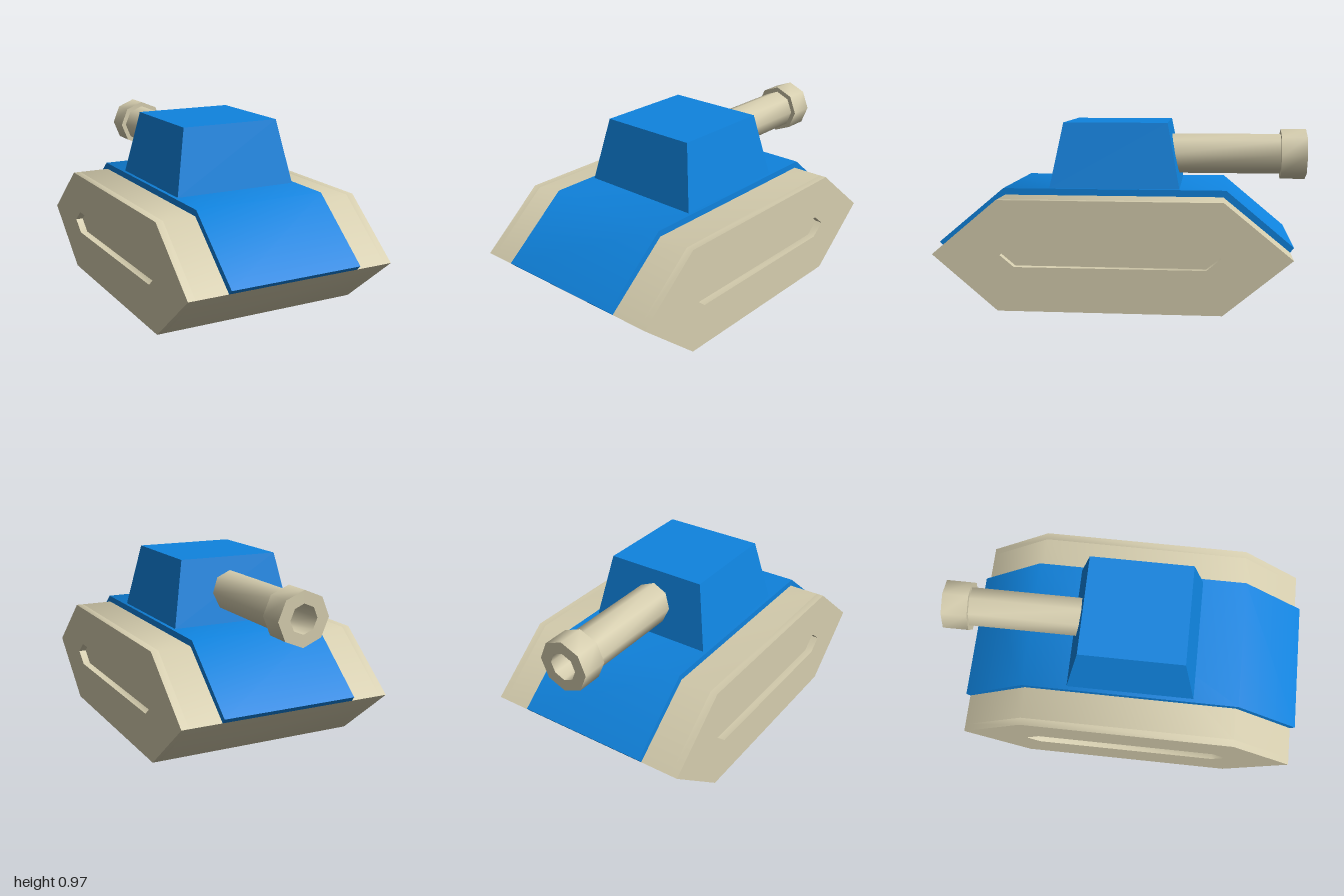
import * as THREE from 'three';
import { toCreasedNormals } from 'three/addons/utils/BufferGeometryUtils.js';

const CREASE = 0.9;

// Outline given as [z, y] points
const outline = (pts, Type = THREE.Shape) => new Type(pts.map(([z, y]) => new THREE.Vector2(z, y)));

// Extrude a side-on outline across x, centred on the given x
function extrudeAcross(shape, width, x = 0) {
  const geo = new THREE.ExtrudeGeometry(shape, { depth: width, bevelEnabled: false });
  geo.translate(0, 0, -width / 2);
  geo.rotateY(-Math.PI / 2);
  geo.translate(x, 0, 0);
  return toCreasedNormals(geo, CREASE);
}

export function createModel() {
  const group = new THREE.Group();
  const blue = new THREE.MeshStandardMaterial({ color: 0x0f83de });
  blue.name = 'blue';
  const beige = new THREE.MeshStandardMaterial({ color: 0xd5cdae });
  beige.name = 'beige';

  const add = (name, geo, material) => {
    const mesh = new THREE.Mesh(geo, material);
    mesh.name = name;
    group.add(mesh);
  };

  // Hull: solid core with a slotted plate on each side
  const hull = [[0.975, 0.295], [0.63, 0.585], [-0.54, 0.585], [-0.895, 0.295], [-0.54, 0], [0.63, 0]];
  const slot = [[0.615, 0.297], [0.54, 0.36], [-0.455, 0.36], [-0.53, 0.297], [-0.455, 0.235], [0.54, 0.235]];
  const halfWidth = 0.585, slotDepth = 0.04;
  add('hull', extrudeAcross(outline(hull), 2 * (halfWidth - slotDepth)), beige);
  for (const side of [1, -1]) {
    const plate = outline(hull);
    plate.holes.push(outline(slot, THREE.Path));
    add(side > 0 ? 'leftSidePlate' : 'rightSidePlate',
      extrudeAcross(plate, slotDepth, side * (halfWidth - slotDepth / 2)), beige);
  }

  // Folded armour sheet lying over the hull
  add('deckArmour', extrudeAcross(outline([
    [1.0, 0.32], [0.64, 0.62], [-0.555, 0.62], [-0.915, 0.32],
    [-0.895, 0.295], [-0.54, 0.585], [0.63, 0.585], [0.975, 0.295],
  ]), 0.74), blue);

  // Turret: box tapered towards its roof
  const turret = new THREE.BoxGeometry(0.7, 0.35, 0.7);
  const p = turret.attributes.position;
  for (let i = 0; i < p.count; i++) {
    if (p.getY(i) > 0) p.setXYZ(i, p.getX(i) * 0.8, p.getY(i), p.getZ(i) * 0.805);
  }
  turret.translate(0, 0.795, 0.042);
  add('turret', toCreasedNormals(turret, 0.1), blue);

  // Gun: eight-sided barrel, thicker muzzle and hollow bore
  const profile = [[0.112, 0.2], [0.112, 0.86], [0.14, 0.86], [0.14, 1], [0.075, 1], [0.075, 0.8], [0, 0.8]];
  const gun = new THREE.LatheGeometry(profile.map(([r, d]) => new THREE.Vector2(r, d)), 8);
  gun.rotateX(-Math.PI / 2);
  gun.translate(0, 0.785, 0);
  add('gunBarrel', toCreasedNormals(gun, CREASE), beige);

  return group;
}
